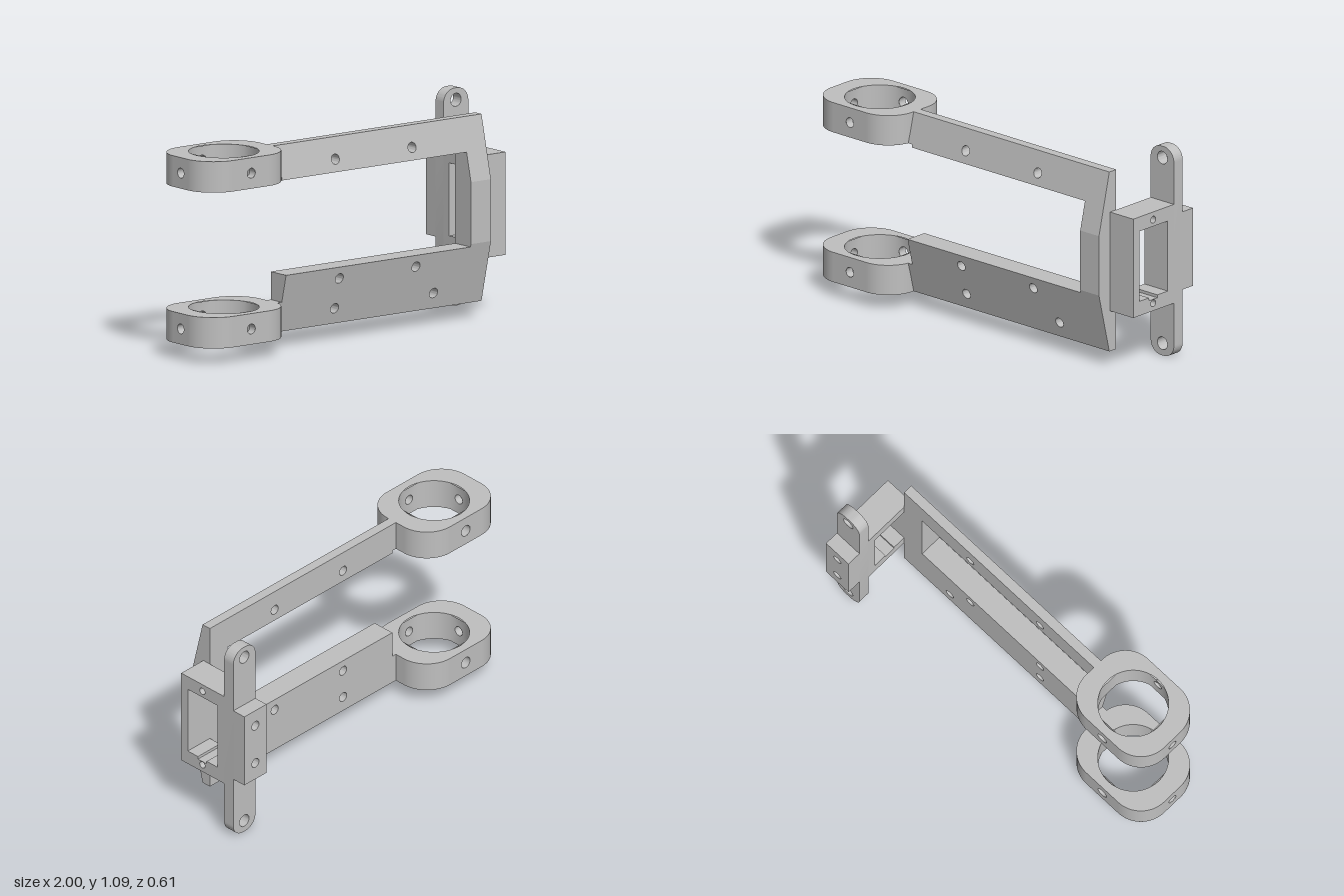
import * as THREE from 'three';
import { mergeGeometries, toCreasedNormals } from 'three/addons/utils/BufferGeometryUtils.js';

const gray = new THREE.MeshStandardMaterial({ color: 0xbfbfbf, side: THREE.DoubleSide });
gray.name = 'plain gray';

function mesh(name, geometry) {
  const m = new THREE.Mesh(geometry, gray);
  m.name = name;
  return m;
}

// Polygon from [x, y] corners, with round holes [x, y, radius]
function polygon(corners, holes = []) {
  const s = new THREE.Shape(corners.map(([x, y]) => new THREE.Vector2(x, y)));
  for (const [x, y, r] of holes) {
    s.holes.push(new THREE.Path().absarc(x, y, r, 0, Math.PI * 2, true));
  }
  return s;
}
const rect = (x0, y0, x1, y1, holes) => polygon([[x0, y0], [x1, y0], [x1, y1], [x0, y1]], holes);

function roundedRect(x0, y0, x1, y1, r, holes = []) {
  const s = new THREE.Shape();
  s.absarc(x1 - r, y0 + r, r, -Math.PI / 2, 0);
  s.absarc(x1 - r, y1 - r, r, 0, Math.PI / 2);
  s.absarc(x0 + r, y1 - r, r, Math.PI / 2, Math.PI);
  s.absarc(x0 + r, y0 + r, r, Math.PI, Math.PI * 1.5);
  s.closePath();
  for (const [x, y, hr] of holes) {
    s.holes.push(new THREE.Path().absarc(x, y, hr, 0, Math.PI * 2, true));
  }
  return s;
}

function slab(shape, depth) {
  return new THREE.ExtrudeGeometry(shape, { depth, bevelEnabled: false, curveSegments: 20 });
}

// Clamp ring: rounded block with a vertical bore and three screw holes
function clampRing() {
  const hx = 0.27, hz = 0.2175, r = 0.16, h = 0.155, bore = 0.174, half = 0.05;
  const parts = [];
  const cap = roundedRect(-hx, -hz, hx, hz, r, [[0, 0, bore]]);
  for (const s of [1, -1]) {
    parts.push(new THREE.ShapeGeometry(cap, 32).rotateX(-s * Math.PI / 2).translate(0, s * h / 2, 0));
  }
  // angle, half width of the flat, its distance from the centre, screw hole radius
  const sides = [
    [0, hx - r, hz, 0.025],
    [Math.PI / 2, hz - r, hx, 0],
    [Math.PI, hx - r, hz, 0.03],
    [Math.PI * 1.5, hz - r, hx, 0.025],
  ];
  const a = Math.asin(half / bore);
  for (const [angle, w, dist, hole] of sides) {
    const holes = hole ? [[0, 0, hole]] : [];
    const flat = new THREE.ShapeGeometry(rect(-w, -h / 2, w, h / 2, holes), 20);
    parts.push(flat.translate(0, 0, dist).rotateY(angle));
    // Bore panel, wrapped onto the bore radius
    const inner = new THREE.ShapeGeometry(rect(-half, -h / 2, half, h / 2, holes), 20);
    const p = inner.attributes.position, n = inner.attributes.normal;
    for (let i = 0; i < p.count; i++) {
      const x = p.getX(i), z = Math.sqrt(bore * bore - x * x);
      p.setZ(i, z);
      n.setXYZ(i, x / bore, 0, z / bore);
    }
    parts.push(inner.rotateY(angle));
    parts.push(new THREE.CylinderGeometry(bore, bore, h, 14, 1, true, angle + a, Math.PI / 2 - 2 * a));
    if (hole) {
      const len = dist - bore + 0.002;
      const tube = new THREE.CylinderGeometry(hole, hole, len, 24, 1, true);
      parts.push(tube.rotateX(Math.PI / 2).translate(0, 0, dist - len / 2).rotateY(angle));
    }
  }
  // Rounded outer corners
  for (let i = 0; i < 4; i++) {
    const sx = i < 2 ? 1 : -1, sz = i === 0 || i === 3 ? 1 : -1;
    const corner = new THREE.CylinderGeometry(r, r, h, 16, 1, true, i * Math.PI / 2, Math.PI / 2);
    parts.push(corner.translate(sx * (hx - r), 0, sz * (hz - r)));
  }
  return mergeGeometries(parts);
}

// Frame piece: flat back, front face thinning toward the top and bottom
function framePiece(shape) {
  const back = 0.085, g = slab(shape, 1), p = g.attributes.position;
  for (let i = 0; i < p.count; i++) {
    const y = p.getY(i);
    const edge = Math.min((y - 0.08) / 0.31, (1.015 - y) / 0.315, 1);
    p.setZ(i, p.getZ(i) > 0.5 ? 0.135 + 0.075 * edge : back);
  }
  return toCreasedNormals(g, 0.5);
}

export function createModel() {
  const model = new THREE.Group();

  // Clamp rings
  for (const [name, y] of [['lowerClampRing', 0.1575], ['upperClampRing', 0.9375]]) {
    const ring = mesh(name, clampRing());
    ring.position.set(-0.73, y, 0.0865);
    model.add(ring);
  }

  // C-shaped frame: two arms joined by a post
  const frame = new THREE.Group();
  frame.name = 'frame';
  const hr = 0.025;
  frame.add(mesh('lowerArm', framePiece(polygon(
    [[-0.465, 0.08], [0.845, 0.08], [0.845, 0.39], [0.72, 0.39], [0.72, 0.375], [-0.435, 0.375], [-0.435, 0.235], [-0.465, 0.235]],
    [[-0.09, 0.315, hr], [0.39, 0.315, hr], [-0.09, 0.16, hr], [0.53, 0.16, hr]]))));
  frame.add(mesh('post', framePiece(rect(0.72, 0.39, 0.845, 0.7))));
  frame.add(mesh('upperArm', framePiece(polygon(
    [[0.72, 0.7], [0.845, 0.7], [0.845, 1.015], [-0.465, 1.015], [-0.465, 0.86], [-0.435, 0.86], [-0.435, 0.845], [0.72, 0.845]],
    [[-0.09, 0.907, hr], [0.39, 0.907, hr]]))));
  model.add(frame);

  // Bracket on the side of the frame
  const bracket = new THREE.Group();
  bracket.name = 'bracket';
  const x0 = 0.845, x1 = 1, xm = 0.9225;

  // Cage with a notched window; the outer layer carries blind screw holes
  const cageLayer = (from, to, holes) => {
    const s = rect(-0.13, 0.29, 0.166, 0.805, holes);
    s.holes.push(polygon([[-0.085, 0.365], [-0.085, 0.73], [0.12, 0.73], [0.12, 0.365],
      [0.045, 0.365], [0.045, 0.35], [-0.015, 0.35], [-0.015, 0.365]]));
    return toCreasedNormals(slab(s, to - from).rotateY(Math.PI / 2).translate(from, 0, 0), 0.5);
  };
  bracket.add(mesh('cageInner', cageLayer(x0, 0.9, [])));
  bracket.add(mesh('cageOuter', cageLayer(0.9, x1, [[0.015, 0.33, 0.018], [0.015, 0.765, 0.018]])));

  // Long mounting tab
  const tab = roundedRect(x0, 0, x1, 1.09, 0.068, [[xm, 0.063, 0.033], [xm, 1.03, 0.033]]);
  bracket.add(mesh('mountingTab', toCreasedNormals(slab(tab, 0.063).translate(0, 0, -0.228), 0.5)));

  // Back block with two blind screw holes
  const block = rect(x0, 0.345, x1, 0.75, [[xm, 0.44, hr], [xm, 0.66, hr]]);
  bracket.add(mesh('backBlock', toCreasedNormals(slab(block, 0.076).translate(0, 0, -0.304), 0.5)));
  model.add(bracket);

  return model;
}
